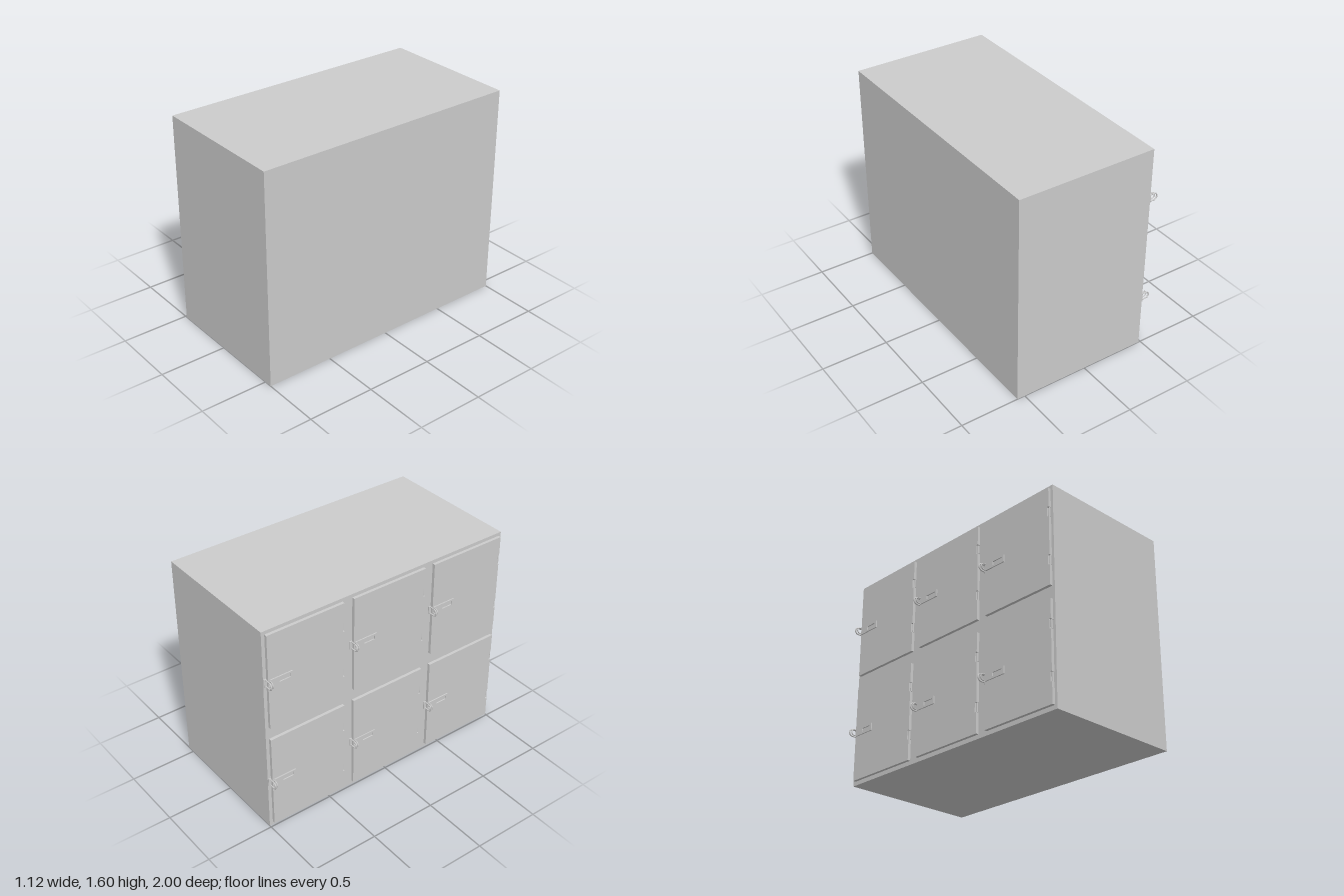
import * as THREE from 'three';

const FACE = -0.485;   // cabinet side that carries the doors
const DOOR_T = 0.022;  // door thickness
const DOOR_W = 0.6, DOOR_H = 0.725;
const HINGES = [0.15, 0.51], HINGE_H = 0.07, NOTCH = 0.014;

const material = new THREE.MeshStandardMaterial({ color: 0xcccccc });

function add(parent, name, geometry, x = 0, y = 0, z = 0) {
  const mesh = new THREE.Mesh(geometry, material);
  mesh.name = name;
  mesh.position.set(x, y, z);
  parent.add(mesh);
  return mesh;
}

// Box placed by its limits
function addBox(parent, name, x0, x1, y0, y1, z0, z1) {
  return add(parent, name, new THREE.BoxGeometry(x1 - x0, y1 - y0, z1 - z0),
    (x0 + x1) / 2, (y0 + y1) / 2, (z0 + z1) / 2);
}

// Door panel with notches for the hinges; outline in (z, y), thickness towards -x
function doorGeometry() {
  const s = new THREE.Shape();
  s.moveTo(0, 0);
  s.lineTo(DOOR_W, 0);
  for (const h of HINGES) {
    s.lineTo(DOOR_W, h);
    s.lineTo(DOOR_W - NOTCH, h);
    s.lineTo(DOOR_W - NOTCH, h + HINGE_H);
    s.lineTo(DOOR_W, h + HINGE_H);
  }
  s.lineTo(DOOR_W, DOOR_H);
  s.lineTo(0, DOOR_H);
  s.closePath();
  return new THREE.ExtrudeGeometry(s, { depth: DOOR_T, bevelEnabled: false }).rotateY(-Math.PI / 2);
}

// U-shaped padlock eye reaching from x = root to x = tip
function eyeGeometry(root, tip, radius, wire) {
  const cx = tip + wire + radius;
  const points = [new THREE.Vector3(root, radius, 0)];
  for (let i = 0; i <= 12; i++) {
    const a = Math.PI / 2 + Math.PI * i / 12;
    points.push(new THREE.Vector3(cx + radius * Math.cos(a), radius * Math.sin(a), 0));
  }
  points.push(new THREE.Vector3(root, -radius, 0));
  return new THREE.TubeGeometry(new THREE.CatmullRomCurve3(points), 36, wire, 8);
}

// Rectangular plate with a window, lying against the door
function latchPlateGeometry(w, h, t) {
  const s = new THREE.Shape();
  s.moveTo(0, -h / 2);
  s.lineTo(w, -h / 2);
  s.lineTo(w, h / 2);
  s.lineTo(0, h / 2);
  s.closePath();
  const hole = new THREE.Path();
  hole.moveTo(w * 0.4, -h * 0.25);
  hole.lineTo(w * 0.4, h * 0.25);
  hole.lineTo(w * 0.9, h * 0.25);
  hole.lineTo(w * 0.9, -h * 0.25);
  hole.closePath();
  s.holes.push(hole);
  return new THREE.ExtrudeGeometry(s, { depth: t, bevelEnabled: false }).rotateY(-Math.PI / 2);
}

export function createModel() {
  const group = new THREE.Group();
  group.name = 'lockerCabinet';

  addBox(group, 'cabinetBody', FACE, 0.56, 0, 1.6, -1, 1);

  const panel = doorGeometry();
  const plate = latchPlateGeometry(0.175, 0.056, 0.008);
  const frameEye = eyeGeometry(0, -0.075, 0.025, 0.005);
  const doorEye = eyeGeometry(0, -0.046, 0.022, 0.004);
  const pin = new THREE.CylinderGeometry(0.007, 0.007, HINGE_H - 0.004, 10);
  const front = -DOOR_T;

  // Two rows of three doors, each hinged on its +z edge
  for (const y of [0.03, 0.85]) {
    for (const z of [-0.975, -0.297, 0.38]) {
      const door = new THREE.Group();
      door.name = 'door';
      door.position.set(FACE, y, z);
      group.add(door);

      add(door, 'doorPanel', panel);
      for (const h of HINGES) {
        add(door, 'hinge', pin, -0.008, h + HINGE_H / 2, DOOR_W - 0.006);
      }

      // Latch: windowed plate with its eye, next to the eye on the frame
      const ly = DOOR_H / 2;
      add(door, 'latchPlate', plate, front, ly, 0.01);
      add(door, 'latchEye', doorEye, front, ly, 0.008);
      add(door, 'frameEye', frameEye, 0, ly, -0.009);
      addBox(door, 'frameEyePlate', -0.008, 0, ly - 0.03, ly + 0.03, -0.022, -0.002);
    }
  }
  return group;
}
